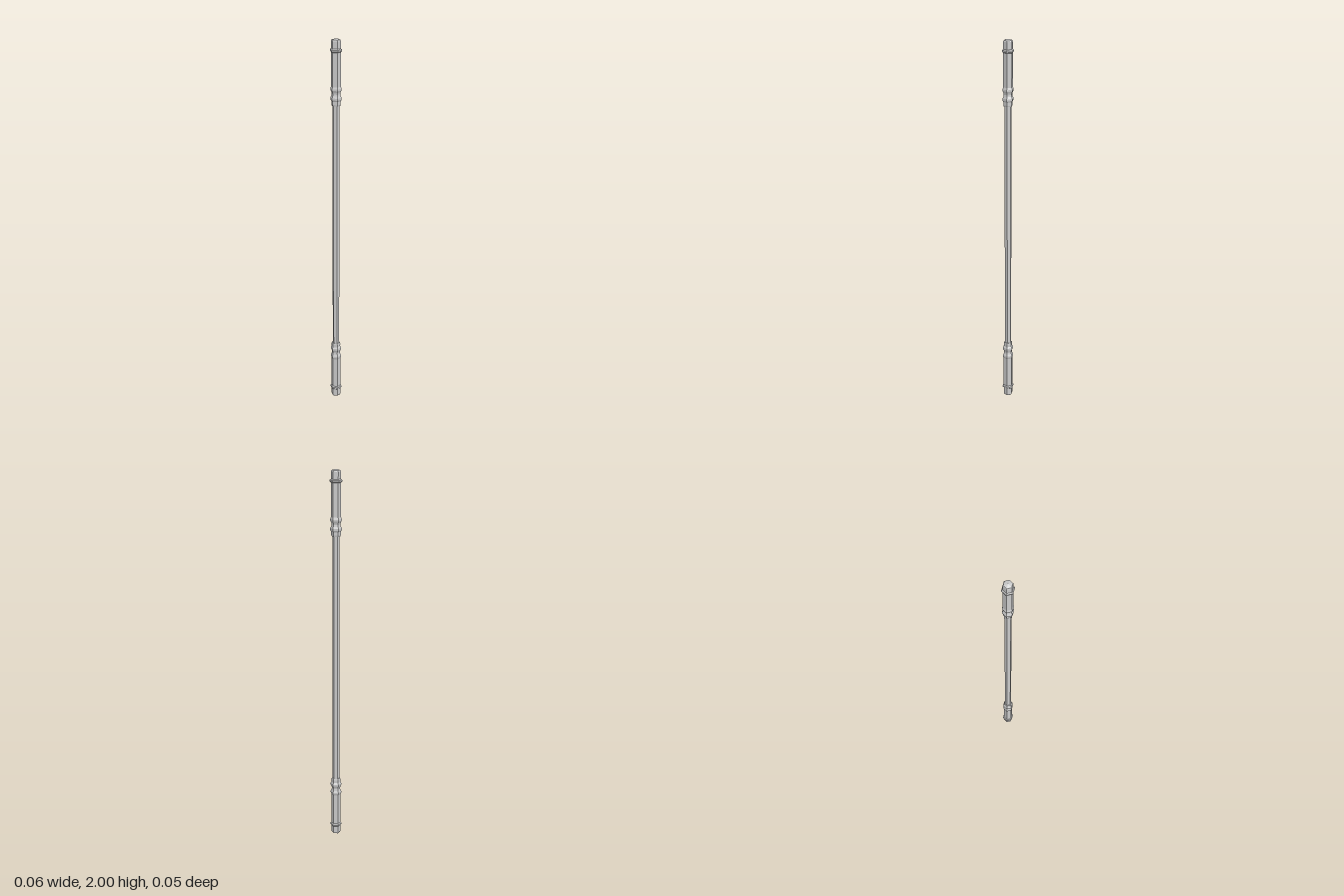
import * as THREE from 'three';

const SIDES = 6;
const material = new THREE.MeshStandardMaterial({ color: 0xcccccc, flatShading: true });

// Hexagonal turned part with corners on the x axis; profile is [radius, y] from bottom to top
function turned(name, profile) {
  const points = profile.map(([r, y]) => new THREE.Vector2(r, y));
  const mesh = new THREE.Mesh(new THREE.LatheGeometry(points, SIDES, Math.PI / 2), material);
  mesh.name = name;
  return mesh;
}

// The same profile turned end for end about mid-height
const flipped = (profile) => profile.map(([r, y]) => [r, 2 - y]).reverse();

export function createModel() {
  const group = new THREE.Group();
  group.name = 'staff';

  group.add(turned('shaft', [[0.018, 0.32], [0.018, 1.68]]));

  // Collar with two swelling rings, next to the shaft
  const collar = [
    [0.015, 1.665], [0.022, 1.665], [0.024, 1.672], [0.024, 1.688],
    [0.029, 1.696], [0.029, 1.706], [0.024, 1.716], [0.022, 1.725],
    [0.024, 1.734], [0.029, 1.744], [0.029, 1.752], [0.025, 1.762],
  ];
  // Plain sleeve
  const sleeve = [[0.025, 1.762], [0.025, 1.933]];
  // Narrow ring, then the end knob with a shallow point
  const ring = [[0.025, 1.933], [0.031, 1.938], [0.031, 1.946], [0.025, 1.951]];
  const cap = [[0.025, 1.951], [0.025, 1.988], [0.022, 1.994], [0, 2]];

  const parts = { Collar: collar, Sleeve: sleeve, Ring: ring, Cap: cap };
  for (const [name, profile] of Object.entries(parts)) {
    group.add(turned('top' + name, profile));
    group.add(turned('bottom' + name, flipped(profile)));
  }
  return group;
}
